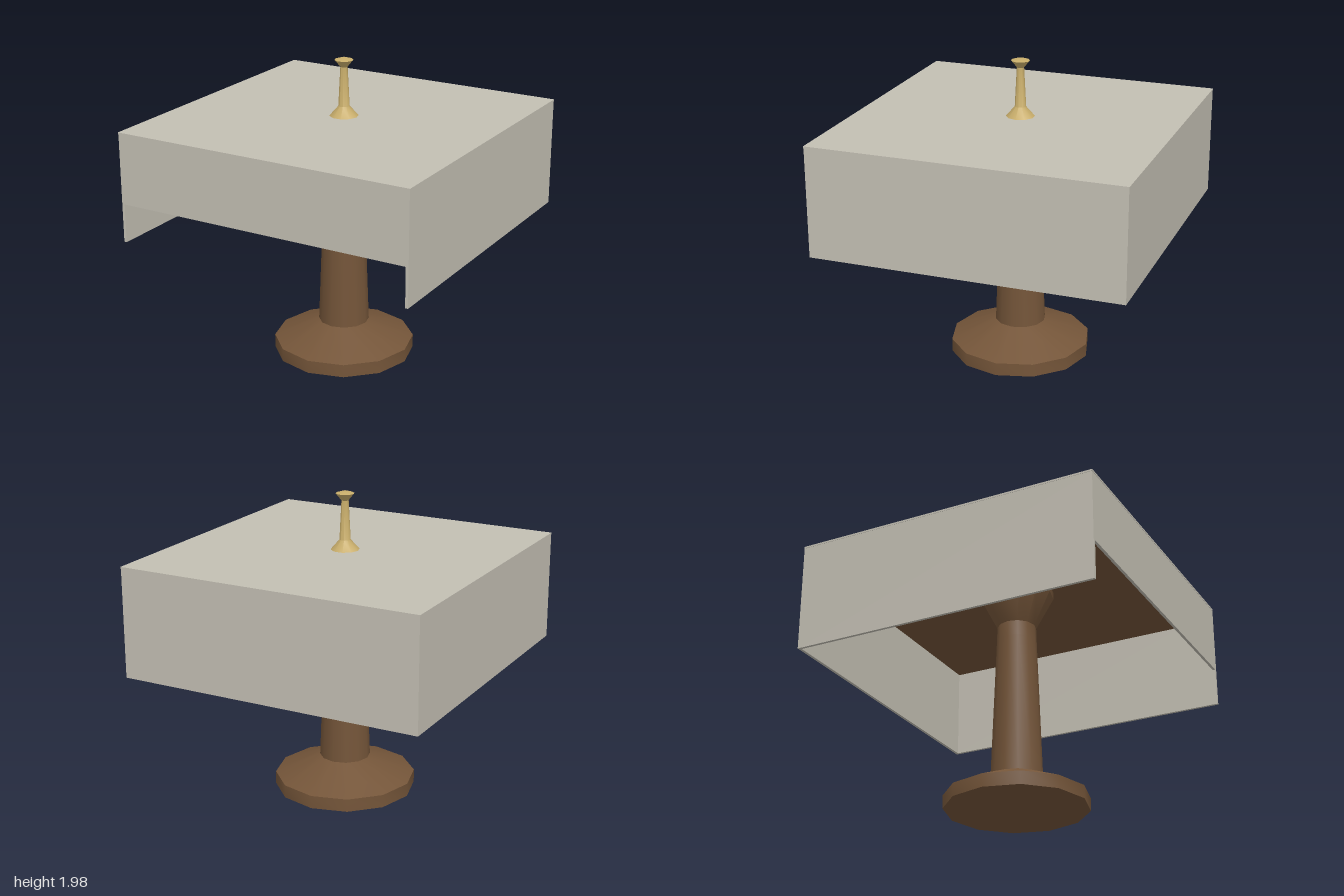
import * as THREE from 'three';
import { toCreasedNormals } from 'three/addons/utils/BufferGeometryUtils.js';

const material = (name, color) => {
  const m = new THREE.MeshStandardMaterial({ color });
  m.name = name;
  return m;
};

export function createModel() {
  const model = new THREE.Group();
  model.name = 'clothedTable';
  const cloth = material('linenGrey', 0xc3bfb3);
  const wood = material('darkWood', 0x745539);
  const brass = material('brass', 0xc9ae6b);

  const add = (name, geometry, mat) => {
    const mesh = new THREE.Mesh(geometry, mat);
    mesh.name = name;
    model.add(mesh);
    return mesh;
  };
  const box = (name, mat, [w, h, d], [x, y, z]) =>
    add(name, new THREE.BoxGeometry(w, h, d), mat).position.set(x, y, z);
  // Turned part: smooth around, sharp between profile sections
  const turned = (name, mat, sides, crease, profile) => {
    const points = profile.map(([r, y]) => new THREE.Vector2(r, y));
    const geometry = new THREE.LatheGeometry(points, sides).rotateY(Math.PI / 2);
    return add(name, toCreasedNormals(geometry, crease), mat);
  };

  // Pedestal: round foot, tapered column, flared head under the top
  turned('foot', wood, 12, 0.55, [[0, 0], [0.457, 0], [0.457, 0.085], [0.164, 0.21]]);
  turned('column', wood, 12, 0.55, [[0.164, 0.21], [0.129, 1.14], [0.126, 1.24]]);
  turned('columnHead', wood, 12, 0.55, [[0.126, 1.24], [0.24, 1.46], [0.24, 1.515]]);

  // Table top, tucked inside the cloth
  box('tableTop', wood, [1.96, 0.08, 1.96], [0, 1.55, 0]);

  // Cloth: thin sheet on top, long drops on three sides, short drop in front
  const top = 1.59, low = 0.89, frontLow = 1.14, thick = 0.018, out = 0.998;
  box('clothTop', cloth, [2, 0.012, 2], [0, 1.596, 0]);
  for (const [name, s] of [['clothLeft', 1], ['clothRight', -1]]) {
    box(name, cloth, [thick, top - low, out * 2], [s * (out - thick / 2), (top + low) / 2, 0]);
  }
  const inner = 2 * (out - thick);
  box('clothBack', cloth, [inner, top - low, thick], [0, (top + low) / 2, -out + thick / 2]);
  box('clothFront', cloth, [inner, top - frontLow, thick], [0, (top + frontLow) / 2, out - thick / 2]);

  // Candlestick-like ornament in the middle
  turned('ornament', brass, 10, 0.68, [
    [0.092, 1.602], [0.036, 1.665], [0.023, 1.917], [0.06, 1.962], [0, 1.98],
  ]);

  return model;
}
